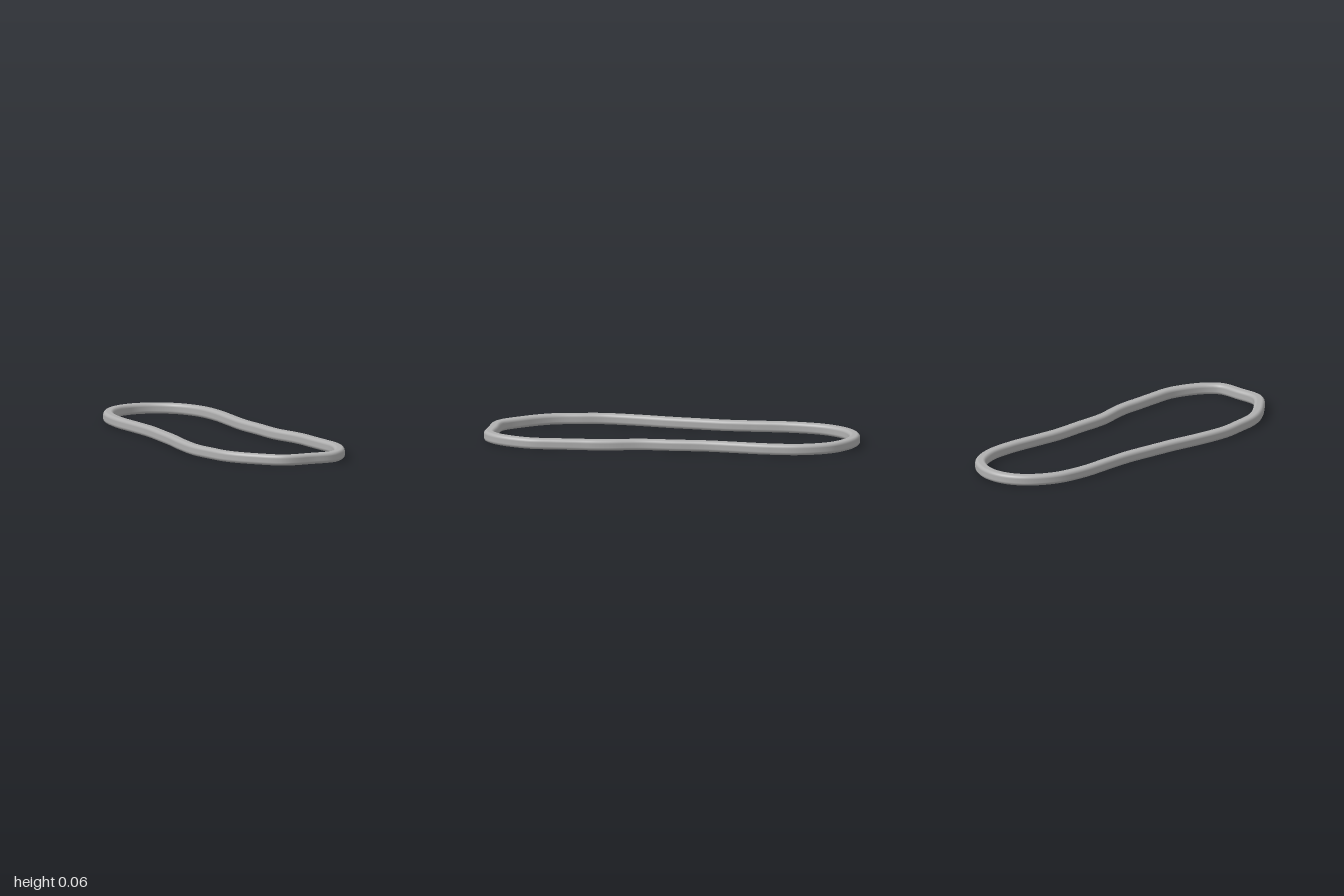
import * as THREE from 'three';

// Centre line of the band seen from above, as [x, z]
const OUTLINE = [
  [0.18, -0.97], [0.255, -0.957], [0.335, -0.912], [0.415, -0.815], [0.447, -0.66], [0.42, -0.49],
  [0.365, -0.32], [0.315, -0.165], [0.283, 0], [0.246, 0.18], [0.244, 0.34], [0.235, 0.43],
  [0.22, 0.5], [0.195, 0.635], [0.165, 0.765], [0.085, 0.89], [0.02, 0.945], [-0.04, 0.967],
  [-0.16, 0.937], [-0.3, 0.89], [-0.39, 0.75], [-0.435, 0.64], [-0.449, 0.56], [-0.444, 0.45],
  [-0.432, 0.32], [-0.37, 0.13], [-0.31, -0.015], [-0.255, -0.17],
  [-0.205, -0.32], [-0.17, -0.475], [-0.13, -0.66], [-0.06, -0.825], [0.03, -0.92], [0.1, -0.957],
];
const SIZE = 0.057; // band width and height
const RADIUS = 0.018; // edge rounding

// Rounded square section: offset (u sideways, v up) and normal at each point
function roundedSection(steps = 5) {
  const points = [];
  const inset = SIZE / 2 - RADIUS;
  for (let corner = 0; corner < 4; corner++) {
    const mid = Math.PI / 4 + corner * Math.PI / 2;
    for (let i = 0; i <= steps; i++) {
      const a = mid + (i / steps - 0.5) * Math.PI / 2;
      const nu = Math.cos(a), nv = Math.sin(a);
      points.push({
        u: Math.sign(Math.cos(mid)) * inset + nu * RADIUS,
        v: Math.sign(Math.sin(mid)) * inset + nv * RADIUS,
        nu, nv,
      });
    }
  }
  return points;
}

// Sweep the section round the closed centre line, keeping it upright
function sweepBand(curve, section, rings) {
  const position = [], normal = [], index = [];
  const n = section.length;
  for (let r = 0; r < rings; r++) {
    const p = curve.getPointAt(r / rings);
    const t = curve.getTangentAt(r / rings);
    const ox = -t.z, oz = t.x; // sideways direction
    for (const s of section) {
      position.push(p.x + ox * s.u, p.y + s.v, p.z + oz * s.u);
      normal.push(ox * s.nu, s.nv, oz * s.nu);
    }
    const next = (r + 1) % rings;
    for (let i = 0; i < n; i++) {
      const j = (i + 1) % n;
      const a = r * n + i, b = r * n + j, c = next * n + j, d = next * n + i;
      index.push(a, c, b, a, d, c);
    }
  }
  const geometry = new THREE.BufferGeometry();
  geometry.setAttribute('position', new THREE.Float32BufferAttribute(position, 3));
  geometry.setAttribute('normal', new THREE.Float32BufferAttribute(normal, 3));
  geometry.setIndex(index);
  return geometry;
}

export function createModel() {
  const grey = new THREE.MeshStandardMaterial({ color: 0xb0b0b0 });
  grey.name = 'grey';

  const curve = new THREE.CatmullRomCurve3(
    OUTLINE.map(([x, z]) => new THREE.Vector3(x, SIZE / 2, z)), true, 'centripetal');
  const band = new THREE.Mesh(sweepBand(curve, roundedSection(), 200), grey);
  band.name = 'band';

  const model = new THREE.Group();
  model.name = 'loopBand';
  model.add(band);
  return model;
}
